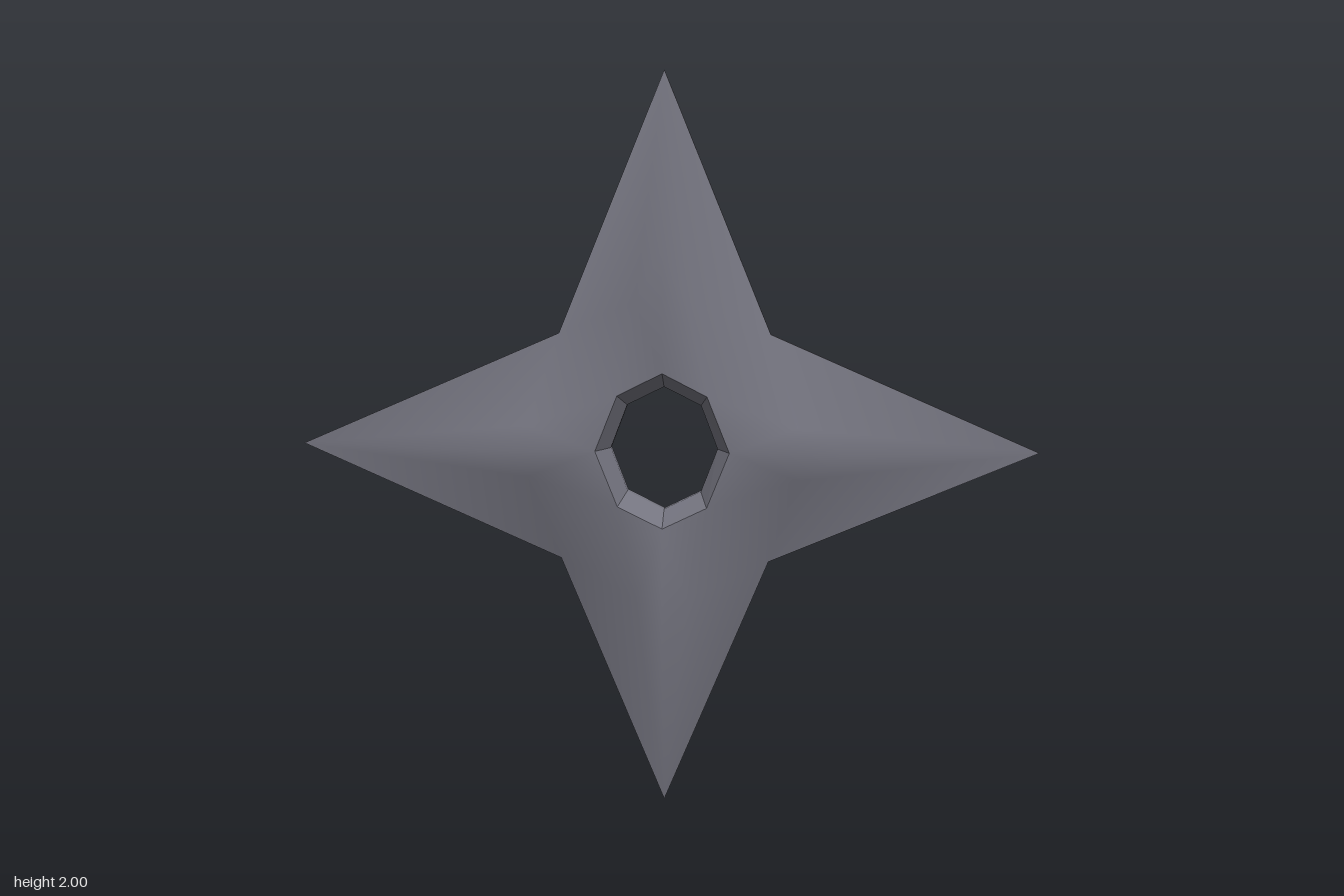
import * as THREE from 'three';
import { mergeVertices } from 'three/addons/utils/BufferGeometryUtils.js';

const steel = new THREE.MeshStandardMaterial({ color: 0x74747f });
steel.name = 'dark steel';

// Key points of one quadrant, [x, y, half thickness], centred on the hole
const tipX = [1, 0, 0.005], tipY = [0, 1, 0.005];
const ridgeX = [0.5, 0, 0.092], ridgeY = [0, 0.53, 0.092];
const shoulderX = [0.36, 0.07, 0.092], shoulderY = [0.07, 0.4, 0.092];
const notch = [0.285, 0.31, 0.008];
const holeX = [0.18, 0, 0.08], holeD = [0.12, 0.15, 0.08], holeY = [0, 0.21, 0.074];
const waistX = [0.145, 0, 0.012], waistD = [0.1, 0.118, 0.012], waistY = [0, 0.168, 0.012];

// Triangles of half an arm, from tip to hole
const halfArm = (tip, ridge, shoulder, hole) => [
  [tip, ridge, shoulder], [tip, shoulder, notch], [ridge, hole, shoulder],
  [hole, holeD, shoulder], [holeD, notch, shoulder],
];

function geometryFrom(triangles, smooth) {
  let g = new THREE.BufferGeometry();
  g.setAttribute('position', new THREE.Float32BufferAttribute(triangles.flat(2), 3));
  if (smooth) g = mergeVertices(g, 1e-4);
  g.computeVertexNormals();
  return g;
}

// One face of the star: the quadrant mirrored four ways, wound to face side * z
function faceGeometry(side) {
  const quadrant = [
    ...halfArm(tipX, ridgeX, shoulderX, holeX),
    ...halfArm(tipY, ridgeY, shoulderY, holeY),
  ];
  const triangles = [];
  for (const sx of [1, -1]) for (const sy of [1, -1]) {
    for (const tri of quadrant) {
      const [a, b, c] = tri.map(([x, y, z]) => [x * sx, y * sy, z * side]);
      const area = (b[0] - a[0]) * (c[1] - a[1]) - (b[1] - a[1]) * (c[0] - a[0]);
      triangles.push(area * side > 0 ? [a, b, c] : [a, c, b]);
    }
  }
  return geometryFrom(triangles, true);
}

// Anticlockwise ring of eight points from the three points of a quadrant
function ring([px, py, pz], [dx, dy, dz], [qx, qy, qz], side) {
  return [
    [px, py, pz], [dx, dy, dz], [qx, qy, qz], [-dx, dy, dz],
    [-px, py, pz], [-dx, -dy, dz], [qx, -qy, qz], [dx, -dy, dz],
  ].map(([x, y, z]) => [x, y, z * side]);
}

// Flat quads joining rings; outward when the first ring lies behind the second
function bandGeometry(back, front) {
  const triangles = [];
  back.forEach((a, i) => {
    const j = (i + 1) % back.length;
    triangles.push([a, back[j], front[j]], [a, front[j], front[i]]);
  });
  return geometryFrom(triangles, false);
}

export function createModel() {
  const star = new THREE.Group();
  star.name = 'throwingStar';
  const add = (name, geometry) => {
    const mesh = new THREE.Mesh(geometry, steel);
    mesh.name = name;
    mesh.position.y = 1;
    star.add(mesh);
  };

  // Ridged faces and the thin cutting edge between them
  add('frontFace', faceGeometry(1));
  add('backFace', faceGeometry(-1));
  add('cuttingEdge', bandGeometry(ring(tipX, notch, tipY, -1), ring(tipX, notch, tipY, 1)));

  // Eight-sided hole, narrowing to a waist in the middle
  const rim = (side) => ring(holeX, holeD, holeY, side);
  const waist = (side) => ring(waistX, waistD, waistY, side);
  add('holeFrontBevel', bandGeometry(rim(1), waist(1)));
  add('holeWaist', bandGeometry(waist(1), waist(-1)));
  add('holeBackBevel', bandGeometry(waist(-1), rim(-1)));

  return star;
}
